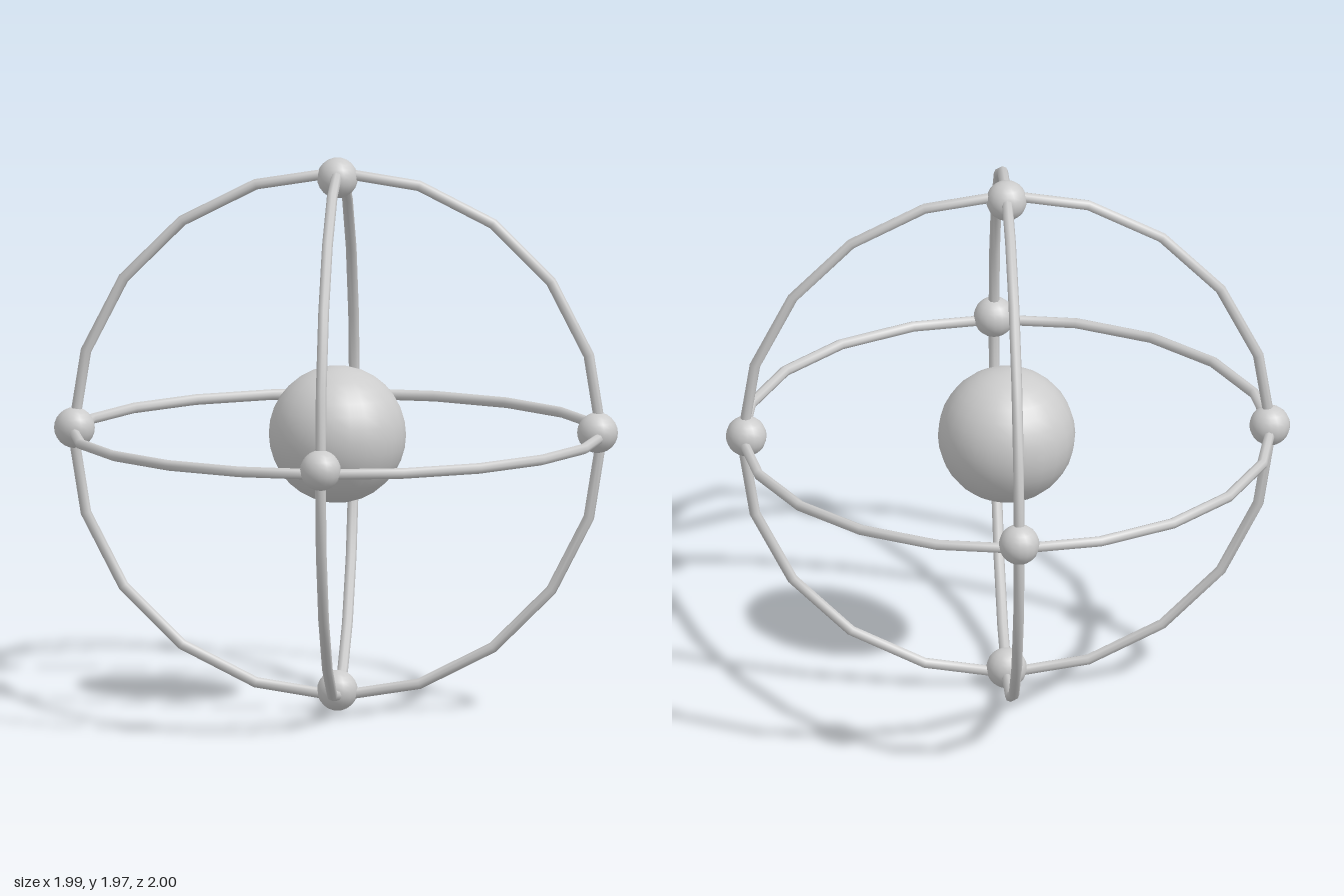
import * as THREE from 'three';

export function createModel() {
  const model = new THREE.Group();
  model.name = 'atomModel';
  const material = new THREE.MeshStandardMaterial({ color: 0xcccccc });
  const centerX = 0.005;
  const centerY = 0.987;

  const add = (name, geometry, x, y, z) => {
    const mesh = new THREE.Mesh(geometry, material);
    mesh.name = name;
    mesh.position.set(x, y, z);
    model.add(mesh);
    return mesh;
  };

  // Central ball
  add('nucleus', new THREE.SphereGeometry(0.242, 24, 16), centerX, centerY, 0);

  // Three mutually perpendicular twenty-sided rings
  const ring = new THREE.TorusGeometry(0.932, 0.019, 8, 20);
  add('frontRing', ring, centerX, centerY, 0);
  add('sideRing', ring, centerX, centerY, 0).rotation.y = Math.PI / 2;
  add('levelRing', ring, centerX, centerY, 0).rotation.x = Math.PI / 2;

  // Small balls where the rings cross
  const node = new THREE.SphereGeometry(0.072, 16, 12);
  const nodeY = 1.001;
  for (const s of [1, -1]) {
    add(s > 0 ? 'leftNode' : 'rightNode', node, s * 0.922, nodeY, 0);
    add(s > 0 ? 'frontNode' : 'backNode', node, centerX, nodeY, s * 0.926);
    add(s > 0 ? 'topNode' : 'bottomNode', node, centerX, centerY + s * 0.912, 0);
  }
  return model;
}
